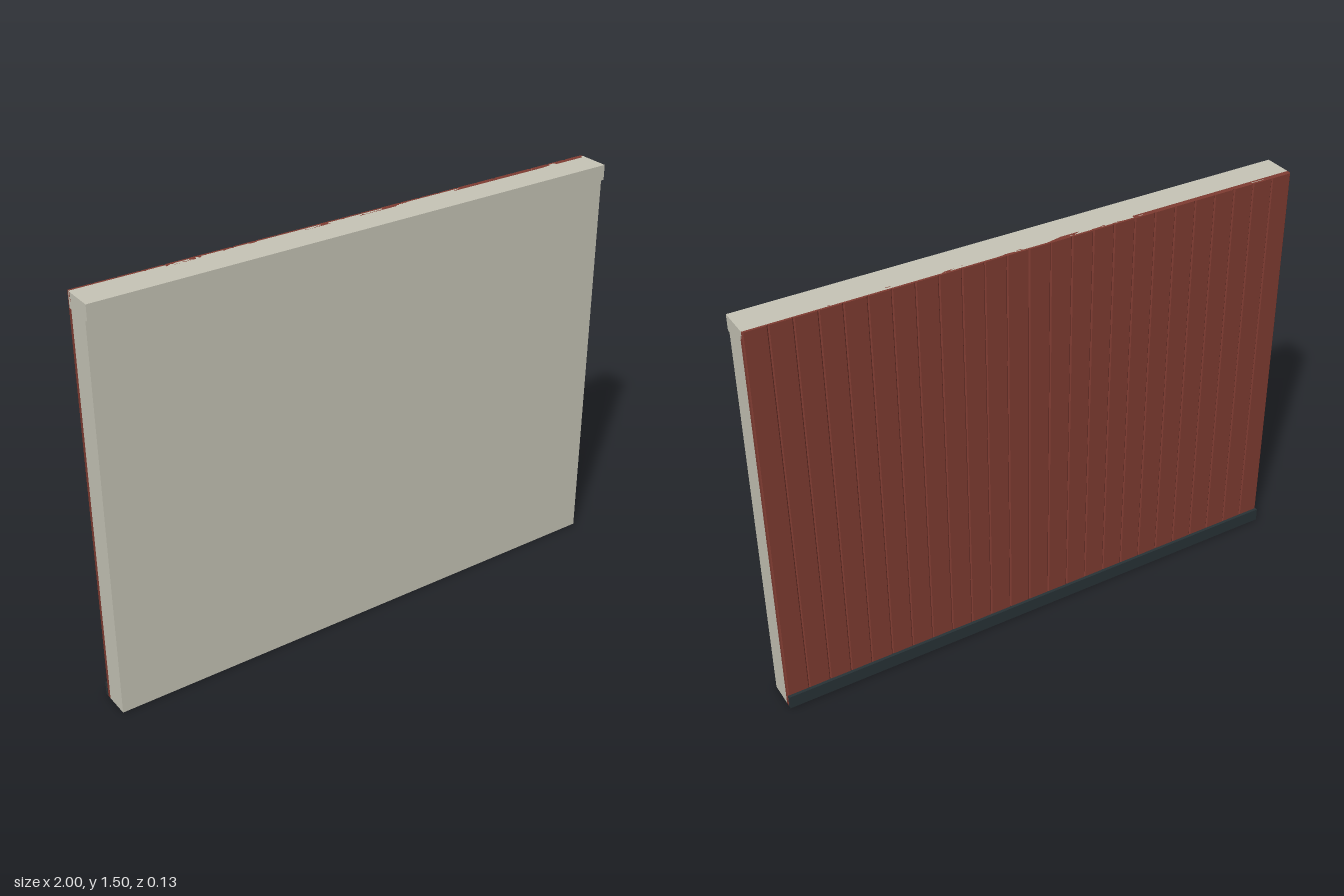
import * as THREE from 'three';

const plaster = new THREE.MeshStandardMaterial({ color: 0xc6c4b6 });
const redWood = new THREE.MeshStandardMaterial({ color: 0x7e3b31 });
const darkTrim = new THREE.MeshStandardMaterial({ color: 0x283236 });

// Full-width box spanning the given heights and depths
function slab(name, material, y0, y1, z0, z1) {
  const mesh = new THREE.Mesh(new THREE.BoxGeometry(2, y1 - y0, z1 - z0), material);
  mesh.position.set(0, (y0 + y1) / 2, (z0 + z1) / 2);
  mesh.name = name;
  return mesh;
}

// Plank cross-section with chamfered outer edges, extruded upward
function plankGeometry(width, height) {
  const h = width / 2, c = 0.004;
  const inner = 0.036, outer = 0.055;
  const shape = new THREE.Shape([
    new THREE.Vector2(-h, inner),
    new THREE.Vector2(h, inner),
    new THREE.Vector2(h, outer - c),
    new THREE.Vector2(h - c, outer),
    new THREE.Vector2(-h + c, outer),
    new THREE.Vector2(-h, outer - c),
  ]);
  const geometry = new THREE.ExtrudeGeometry(shape, { depth: height, bevelEnabled: false });
  return geometry.rotateX(-Math.PI / 2);
}

export function createModel() {
  const group = new THREE.Group();
  group.name = 'wallSection';

  // Plastered wall and its projecting top band
  group.add(slab('wall', plaster, 0, 1.445, -0.036, 0.055));
  group.add(slab('topBand', plaster, 1.445, 1.5, -0.047, 0.067));

  // Vertical plank cladding on the back
  const cladding = new THREE.Group();
  cladding.name = 'cladding';
  const count = 25, width = 2 / count;
  const geometry = plankGeometry(width, 1.5);
  for (let i = 0; i < count; i++) {
    const plank = new THREE.Mesh(geometry, redWood);
    plank.position.x = -1 + (i + 0.5) * width;
    plank.name = 'plank';
    cladding.add(plank);
  }
  group.add(cladding);

  // Skirting board along the foot of the cladding
  group.add(slab('skirting', darkTrim, 0, 0.05, -0.066, -0.054));

  return group;
}
